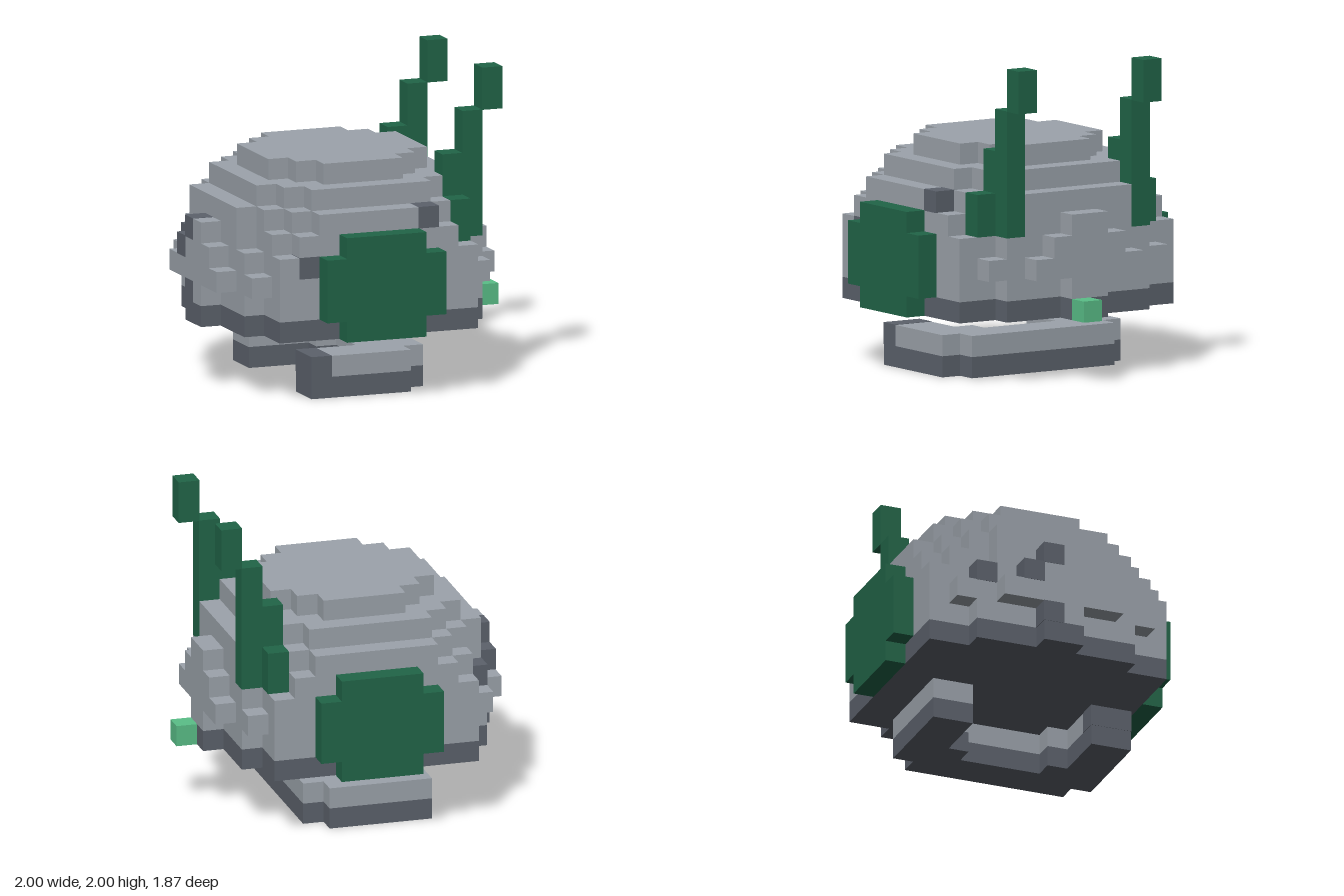
import * as THREE from 'three';

const U = 2 / 15; // one block

export function createModel() {
  const model = new THREE.Group();
  model.name = 'blockHelmet';

  const mat = (name, color) => {
    const m = new THREE.MeshStandardMaterial({ color });
    m.name = name;
    return m;
  };
  const shell = mat('lightGrey', 0x9ca3ab);
  const dark = mat('darkGrey', 0x5c626c);
  const green = mat('darkGreen', 0x216548);
  const lime = mat('lightGreen', 0x5abf88);

  const add = (name, geometry, material) => {
    const mesh = new THREE.Mesh(geometry, material);
    mesh.name = name;
    model.add(mesh);
    return mesh;
  };

  // Box between two corners in block units, grown a hair to sit proud of its neighbours
  const box = (name, material, [x0, y0, z0], [x1, y1, z1], grow = 0.03) => {
    const g = new THREE.BoxGeometry((x1 - x0 + grow) * U, (y1 - y0 + grow) * U, (z1 - z0 + grow) * U);
    g.translate((x0 + x1) / 2 * U, (y0 + y1) / 2 * U, (z0 + z1) / 2 * U);
    return add(name, g, material);
  };

  const extrude = (points, depth) => new THREE.ExtrudeGeometry(
    new THREE.Shape(points.map(([x, y]) => new THREE.Vector2(x * U, y * U))),
    { depth: depth * U, bevelEnabled: false });

  // Stepped round outline from nested half sizes [halfX, halfY], widest first
  const stepped = (steps) => {
    const q = [];
    steps.forEach(([hx, hy], i) => {
      q.push([hx, i ? steps[i - 1][1] : 0], [hx, hy]);
    });
    q.shift();
    const flip = (sx, sy, list) => list.map(([x, y]) => [x * sx, y * sy]);
    const r = [...q].reverse();
    return [...q, ...flip(-1, 1, r), ...flip(-1, -1, q), ...flip(1, -1, r)];
  };

  // Dome: horizontal layers [bottom, height, material, steps]
  const low = [[7, 1], [6, 4], [5, 6]];
  const layers = [
    [3, 1, dark, low],
    [4, 1, shell, low],
    [5, 1, shell, [[7, 3], [6, 5], [5, 6]]],
    [6, 1, shell, [[7, 2], [6, 4], [5, 6]]],
    [7, 1, shell, [[7, 1], [6, 3], [5, 5], [4, 6]]],
    [8, 1, shell, [[6, 3], [5, 4], [4, 5], [3, 6]]],
    [9, 1, shell, [[5, 3], [4, 4], [3, 5]]],
    [10, 1, shell, [[4, 2], [3, 3], [2, 4]]],
  ];
  layers.forEach(([y, h, material, steps], i) => {
    const g = extrude(stepped(steps), h);
    g.rotateX(-Math.PI / 2);
    g.translate(-0.5 * U, y * U, 0);
    add(i ? 'domeLayer' + i : 'domeRim', g, material);
  });

  // Side plates and antennas, mirrored front to back
  for (const s of [1, -1]) {
    const side = s > 0 ? 'Left' : 'Right';
    const plate = extrude(stepped([[3, 1.5], [2, 2.5]]), 1);
    plate.translate(-0.5 * U, 5.5 * U, (s > 0 ? 6 : -7) * U);
    add('earPlate' + side, plate, green);

    const part = (name, x0, x1, y0, y1, z) =>
      box(name + side, green, [x0, y0, s > 0 ? z : -z - 1], [x1, y1, s > 0 ? z + 1 : -z], 0.02);
    part('antennaFoot', 3.5, 4.5, 7, 9, 4);
    part('antennaBrace', 3.5, 4.5, 7, 11, 3);
    part('antennaStem', 4.5, 5.5, 7, 13, 3);
    part('antennaTip', 5.5, 6.5, 13, 15, 3);
  }

  // Small light block at the rim
  box('rimLight', lime, [6.5, 3, 0], [7.5, 4, 1], 0);

  // Worn dark blocks on the shell
  const scars = [
    [-4.5, 6, 5], [1.5, 8, 5],
    [-7.5, 7, -1], [-7.5, 6, -2], [-7.5, 4, -1], [-6.5, 6, -4],
  ];
  scars.forEach(([x, y, z], i) => box('wornBlock' + (i + 1), dark, [x, y, z], [x + 1, y + 1, z + 1]));

  // U-shaped neck collar below the dome
  const half = [[0.5, 2], [-0.5, 2], [-0.5, 3], [-3.5, 3], [-3.5, 5], [1.5, 5], [1.5, 4], [2.5, 4]];
  const collar = [...half, ...[...half].reverse().map(([x, z]) => [x, -z])];
  [['collarBottom', dark], ['collarTop', shell]].forEach(([name, material], i) => {
    const g = extrude(collar, 1);
    g.rotateX(-Math.PI / 2);
    g.translate(0, i * U, 0);
    add(name, g, material);
  });
  box('collarEnd', dark, [-3.5, 1, 3], [-2.5, 2, 5]);

  return model;
}
